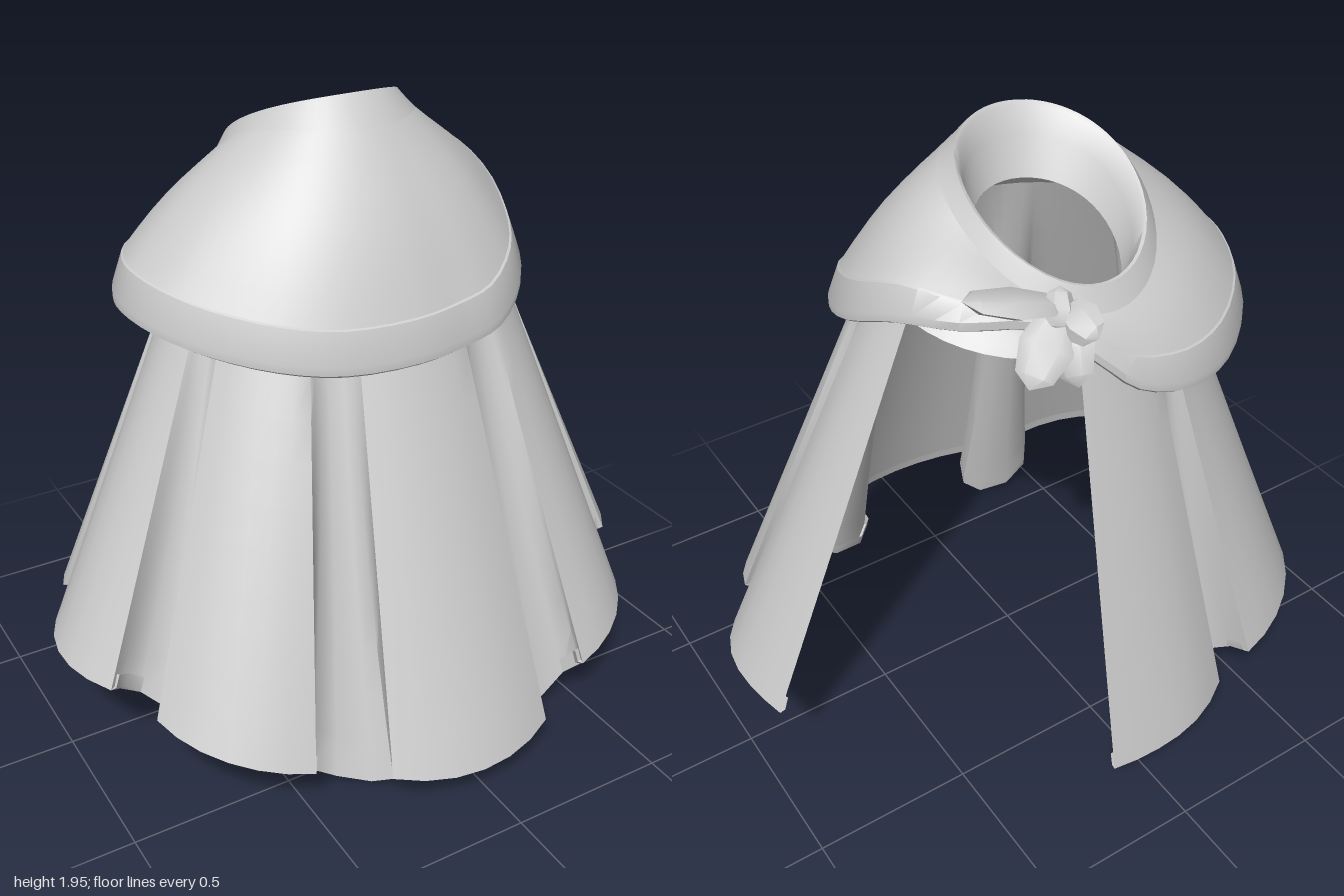
import * as THREE from 'three';
import { toCreasedNormals } from 'three/addons/utils/BufferGeometryUtils.js';

const V = (x, y, z) => new THREE.Vector3(x, y, z);
const rad = THREE.MathUtils.degToRad;
const cloth = new THREE.MeshStandardMaterial({ color: 0xcccccc, side: THREE.DoubleSide });
cloth.name = 'greyCloth';

// Surface through rows of points, running top to bottom
function loft(name, rows, closed, crease = 0.55) {
  const n = rows[0].length;
  const pos = [];
  const idx = [];
  rows.forEach(row => row.forEach(p => pos.push(p.x, p.y, p.z)));
  for (let r = 0; r < rows.length - 1; r++) {
    for (let c = 0; c < (closed ? n : n - 1); c++) {
      const a = r * n + c, b = r * n + (c + 1) % n;
      idx.push(a, a + n, b, b, a + n, b + n);
    }
  }
  const g = new THREE.BufferGeometry();
  g.setAttribute('position', new THREE.Float32BufferAttribute(pos, 3));
  g.setIndex(idx);
  const mesh = new THREE.Mesh(toCreasedNormals(g, crease), cloth);
  mesh.name = name;
  return mesh;
}

// Tilted neck loop; angle 0 is the front and 90 degrees is +x
function neck(a, rx, rz, drop, cx = -0.01, cz = -0.2) {
  const z = cz + rz * Math.cos(a);
  return V(cx + rx * Math.sin(a), 1.965 + 0.54 * (z - 0.08) + 0.03 * Math.sin(a) ** 2 - drop, z);
}
const neckHole = a => neck(a, 0.2, 0.22, 0.15, 0.02, -0.23);
const collarBase = a => neck(a, 0.29, 0.33, 0.05 + 0.08 * Math.max(0, Math.cos(a)) ** 2, -0.01, -0.18);

// Loop under the cape where the pleats begin
function waist(a) {
  const c = Math.cos(a);
  return V(0.03 + 0.44 * Math.sin(a), 1.6 - 0.1 * Math.max(0, -c), -0.13 + 0.39 * c);
}

// Point on the hem: scale draws it inwards, drop lowers it (less at the back)
function hem(deg, scale, drop) {
  const s = Math.sin(rad(deg)), c = Math.cos(rad(deg));
  const r = scale / Math.hypot(s, c / 0.84);
  const back = Math.max(0, -c);
  return V(r * s, 0.1 + 0.23 * s * s + 0.04 * back - drop * (1 - 0.5 * back), r * c);
}

function makeSkirt() {
  // Start angle, end angle and reach of each broad panel
  const panels = [[-190.5, -156.5, 1], [-147, -116.5, 1.03], [-107.5, -78, 1], [-67, -36.5, 1],
    [-21, 18.5, 1], [36, 64.5, 0.975], [76, 102.5, 1]];
  const columns = [];
  panels.forEach(([a, b, reach], i) => {
    for (let k = 0; k <= 6; k++) {
      const f = k / 6, deg = a + (b - a) * f;
      const outerEnd = (i === 0 && f < 0.5) || (i === 6 && f > 0.5);
      const low = hem(deg, reach - (outerEnd ? 0 : 0.045 * (2 * f - 1) ** 2), 0);
      columns.push({ top: waist(rad(deg)), plain: low, low });
    }
    if (i === panels.length - 1) return;
    // Inward fold, tucking behind both neighbours towards the hem
    const gap = panels[i + 1][0] - b;
    const fold = [[0.08, -0.12, 0.91, 0.03], [0.2, -0.12, 0.84, 0.08], [0.36, 0.22, 0.8, 0.12],
      [0.64, 0.78, 0.81, 0.12], [0.8, 1.1, 0.85, 0.08], [0.92, 1.1, 0.91, 0.03]];
    for (const [ft, fb, scale, drop] of fold) {
      const deg = b + gap * ft;
      columns.push({ top: waist(rad(deg)), plain: hem(deg, scale, drop), low: hem(b + gap * fb, scale, drop) });
    }
  });
  const rows = [];
  for (let r = 0; r <= 12; r++) {
    const f = r / 12;
    rows.push(columns.map(c => c.top.clone().lerp(c.plain.clone().lerp(c.low, f), f)));
  }
  // Turned hem
  rows.push(columns.map(c => V(c.low.x * 0.98, c.low.y, c.low.z * 0.98)));
  rows.push(columns.map(c => V(c.low.x * 0.965, c.low.y + 0.04, c.low.z * 0.965)));
  return loft('pleatedSkirt', rows, false, 0.8);
}

function makeYoke() {
  const angles = Array.from({ length: 48 }, (_, i) => i / 48 * Math.PI * 2);
  const rows = [];
  for (let r = 0; r <= 6; r++) {
    const f = r / 6;
    rows.push(angles.map(a => {
      const top = neckHole(a), low = waist(a);
      const bulge = 0.18 * top.distanceTo(low) * Math.sin(Math.PI * f);
      return top.lerp(low, f).add(V(0, bulge, 0));
    }));
  }
  return loft('innerYoke', rows, true, 1);
}

function makeCape() {
  const group = new THREE.Group();
  group.name = 'cape';
  // Lower edge, rising to the bow
  const edge = new THREE.CatmullRomCurve3([
    V(-0.02, 1.28, 0.455), V(0.14, 1.29, 0.44), V(0.28, 1.31, 0.41), V(0.42, 1.37, 0.31), V(0.51, 1.43, 0.16),
    V(0.56, 1.52, -0.05), V(0.52, 1.6, -0.23), V(0.4, 1.61, -0.38), V(0.22, 1.6, -0.48), V(0.1, 1.51, -0.57),
    V(-0.02, 1.4, -0.62), V(-0.2, 1.34, -0.63), V(-0.38, 1.33, -0.57), V(-0.56, 1.35, -0.42),
    V(-0.66, 1.37, -0.24), V(-0.69, 1.375, -0.1), V(-0.66, 1.36, 0.06), V(-0.57, 1.33, 0.2),
    V(-0.42, 1.3, 0.34), V(-0.25, 1.28, 0.42)], true);
  const low = edge.getPoints(60).slice(0, 60);
  const angles = low.map(p => Math.atan2(p.x + 0.01, p.z + 0.2));
  const knot = V(0.2, 1.6, -0.48);
  const inset = (p, k, up) => V(-0.06 + (p.x + 0.06) * k, p.y + up, -0.1 + (p.z + 0.1) * k);
  const bandTop = low.map(p => {
    const near = Math.exp(-p.distanceToSquared(knot) / 0.12);
    return inset(p, 0.935, 0.125 - 0.08 * near);
  });

  // Draped shell from collar to band
  const shell = [];
  for (let r = 0; r <= 6; r++) {
    const f = r / 6;
    shell.push(bandTop.map((p, i) => {
      const a = collarBase(angles[i]);
      const bulge = 0.035 * a.distanceTo(p) * Math.sin(Math.PI * f);
      return a.lerp(p, f).add(V(Math.sin(angles[i]), 0.6, Math.cos(angles[i])).multiplyScalar(bulge));
    }));
  }
  group.add(loft('capeShell', shell, true, 0.7));

  // Border band with a rounded lower lip
  group.add(loft('capeBand', [
    bandTop,
    bandTop.map(p => inset(p, 1.012, -0.004)),
    low.map(p => inset(p, 1, 0.025)),
    low,
    low.map(p => inset(p, 0.975, -0.01)),
    low.map(p => inset(p, 0.94, 0.01)),
    low.map(p => inset(p, 0.91, 0.06)),
  ], true));

  // Collar rolled over into the neck opening
  const ring = (rx, rz, drop) => angles.map(a => neck(a, rx, rz, drop));
  group.add(loft('collar', [
    angles.map(neckHole),
    angles.map(a => neck(a, 0.225, 0.245, 0.06, 0.005, -0.21)),
    ring(0.245, 0.265, 0.005),
    ring(0.255, 0.275, 0),
    ring(0.265, 0.285, 0.015),
    angles.map(collarBase),
  ], true, 0.9));
  return group;
}

// Flat, pointed lobe of the bow between two points
function lobe(name, from, to, width, facing) {
  const along = to.clone().sub(from);
  const length = along.length();
  const y = along.normalize();
  const x = y.clone().cross(facing).normalize();
  const z = x.clone().cross(y);
  const g = new THREE.SphereGeometry(1, 6, 4);
  g.scale(width, length / 2, 0.03);
  g.applyMatrix4(new THREE.Matrix4().makeBasis(x, y, z));
  g.translate((from.x + to.x) / 2, (from.y + to.y) / 2, (from.z + to.z) / 2);
  const mesh = new THREE.Mesh(toCreasedNormals(g, 0.7), cloth);
  mesh.name = name;
  return mesh;
}

function makeBow() {
  const bow = new THREE.Group();
  bow.name = 'bow';
  const k = V(0.15, 1.66, -0.49);
  bow.add(
    lobe('bowKnot', V(0.15, 1.71, -0.47), V(0.19, 1.61, -0.53), 0.045, V(0.4, 0.3, -1)),
    lobe('bowLoopLeft', k, V(0.41, 1.72, -0.41), 0.085, V(0.35, 1, 0.15)),
    lobe('bowLoopRight', k, V(0.13, 1.62, -0.62), 0.06, V(0.7, 0.7, 0)),
    lobe('bowTailLeft', k, V(0.31, 1.5, -0.57), 0.075, V(1, 0.2, -0.9)),
    lobe('bowTailRight', k, V(0.18, 1.48, -0.61), 0.065, V(1, 0.2, -0.9)));
  return bow;
}

export function createModel() {
  const model = new THREE.Group();
  model.name = 'hoodlessCloak';
  model.add(makeSkirt(), makeYoke(), makeCape(), makeBow());
  return model;
}
